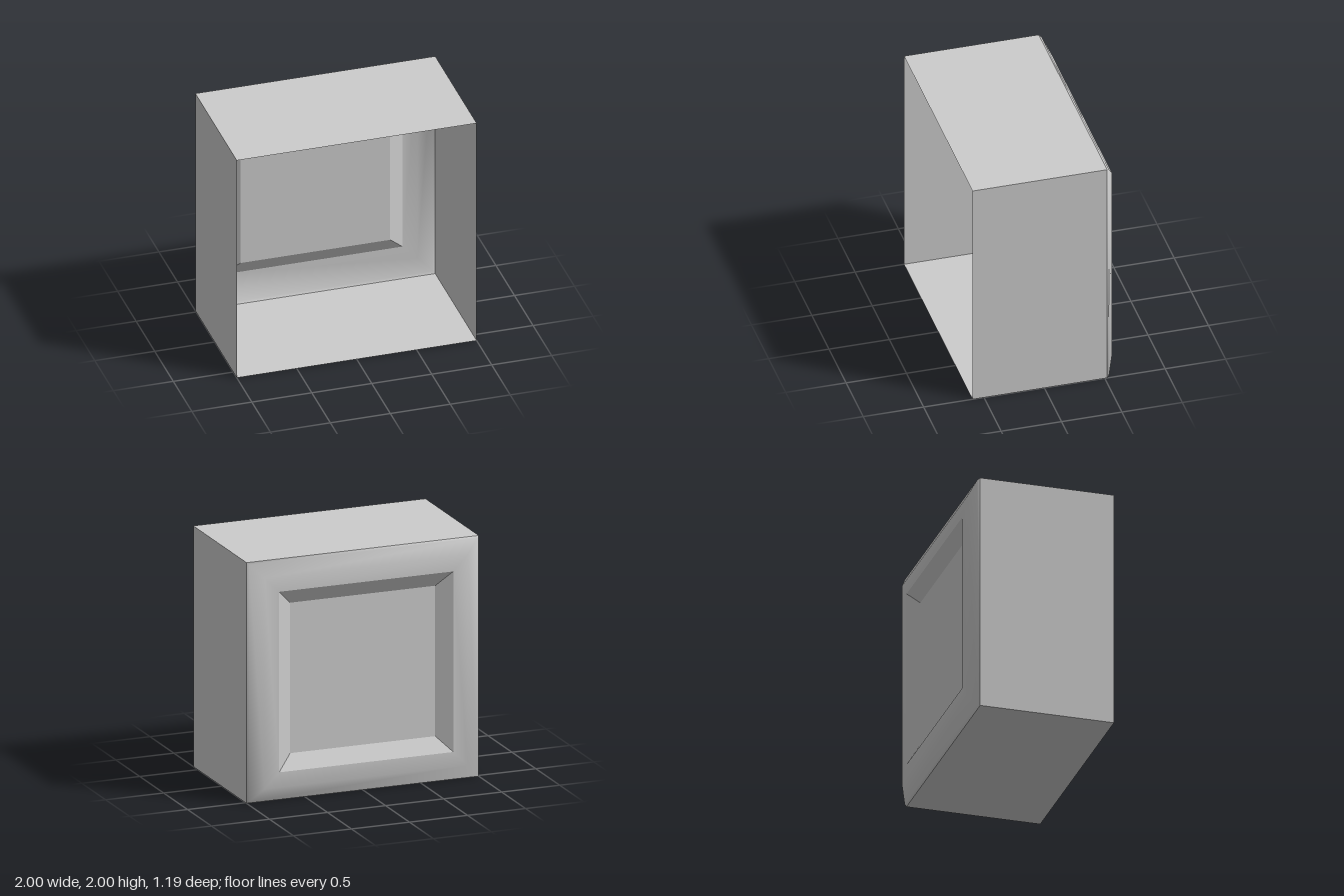
import * as THREE from 'three';

// Lofts square rings [half width, z] from front to back, outside faces out.
function squareLoft(rings, smooth) {
  const corners = [[1, 1], [-1, 1], [-1, -1], [1, -1]];
  const positions = [], index = [];
  for (const [half, z] of rings)
    for (const [x, y] of corners) positions.push(x * half, 1 + y * half, z);
  for (let r = 0; r < rings.length - 1; r++) {
    for (let i = 0; i < 4; i++) {
      const a = r * 4 + i, b = r * 4 + (i + 1) % 4;
      index.push(a, a + 4, b, b, a + 4, b + 4);
    }
  }
  let geometry = new THREE.BufferGeometry();
  geometry.setAttribute('position', new THREE.Float32BufferAttribute(positions, 3));
  geometry.setIndex(index);
  if (!smooth) geometry = geometry.toNonIndexed();
  geometry.computeVertexNormals();
  return geometry;
}

export function createModel() {
  const group = new THREE.Group();
  const grey = new THREE.MeshStandardMaterial({ color: 0xcccccc, side: THREE.DoubleSide });
  grey.name = 'plainGrey';

  const add = (name, geometry) => {
    const mesh = new THREE.Mesh(geometry, grey);
    mesh.name = name;
    group.add(mesh);
    return mesh;
  };

  const front = 0.595, wallBack = -0.52, ridge = -0.595;

  // Thin walls, open at the front
  add('sideWalls', squareLoft([[1, front], [1, wallBack]], false));

  // Softly rounded frame around the back
  add('backFrame', squareLoft([[1, wallBack], [0.985, -0.54], [0.875, ridge], [0.75, ridge]], true));

  // Bevel stepping in to the recessed panel
  add('recessBevel', squareLoft([[0.75, ridge], [0.625, wallBack]], false));

  // Flat panel facing backwards
  const panel = add('backPanel', new THREE.PlaneGeometry(1.25, 1.25));
  panel.rotation.y = Math.PI;
  panel.position.set(0, 1, wallBack);

  return group;
}
